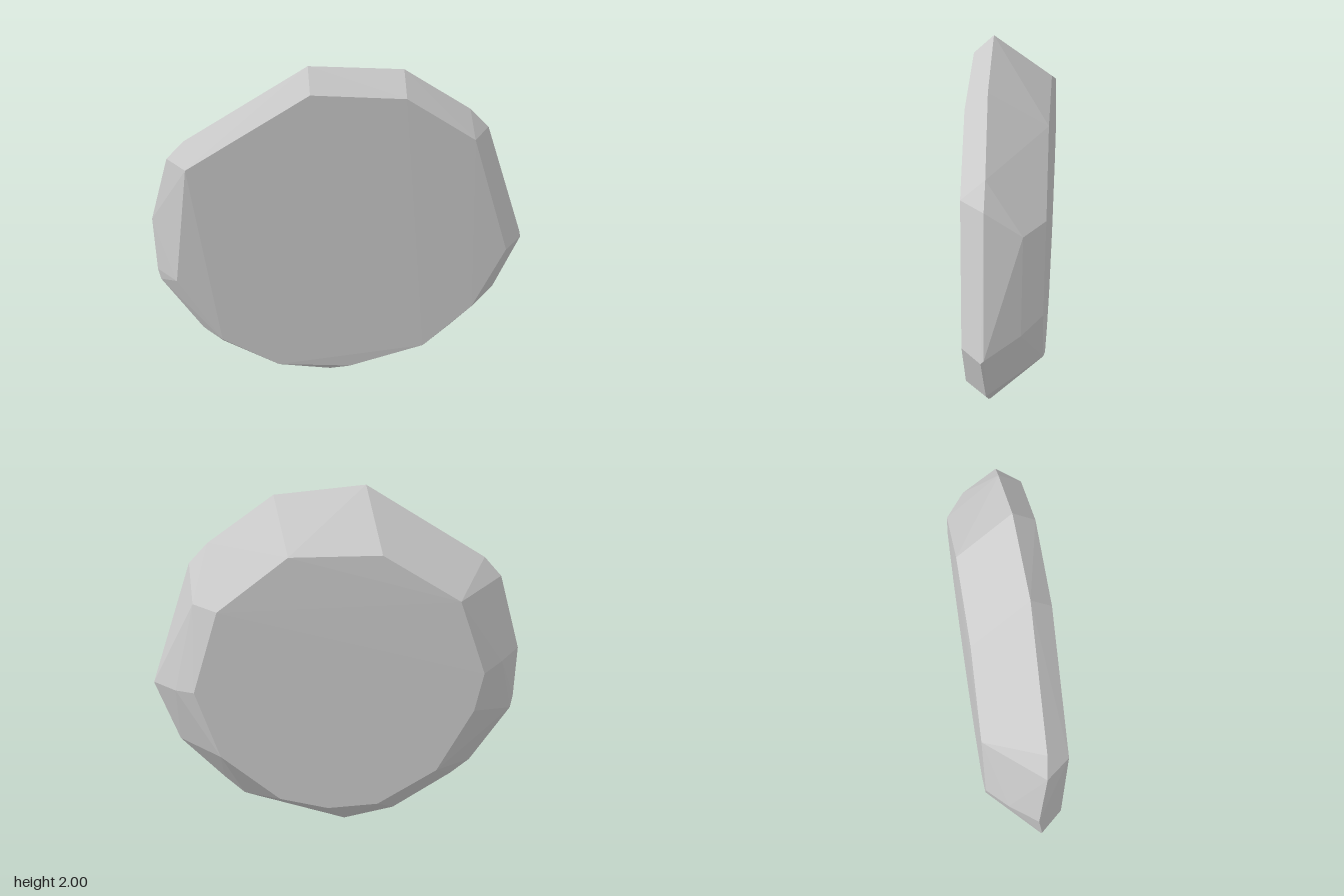
import * as THREE from 'three';
import { ConvexGeometry } from 'three/addons/geometries/ConvexGeometry.js';

// Corners of each outline as [x, y, z], clockwise from the top.
const frontFace = [
  [-0.16, 1.9, 0.2], [0.3, 1.85, 0.2], [0.65, 1.59, 0.19], [0.87, 0.88, 0.18],
  [0.71, 0.5, 0.185], [0.45, 0.24, 0.19], [0.04, 0.12, 0.185], [-0.36, 0.18, 0.19],
  [-0.66, 0.4, 0.19], [-0.87, 0.82, 0.175], [-0.77, 1.52, 0.195],
];
const rim = [
  [-0.16, 2, 0.1], [0.3, 1.95, 0.09], [0.64, 1.7, 0.075], [0.74, 1.59, 0.075],
  [0.97, 0.9, 0.065], [0.97, 0.88, 0.08], [0.85, 0.54, 0.07], [0.62, 0.28, 0.08],
  [0.51, 0.17, 0.08], [0.44, 0.14, 0.09], [0.04, 0.02, 0.085], [-0.06, 0, 0.07],
  [-0.34, 0.07, 0.08], [-0.66, 0.3, 0.09], [-0.76, 0.4, 0.08], [-0.96, 0.75, 0.06],
  [-0.97, 0.82, 0.06], [-0.97, 1.13, 0.035], [-0.86, 1.52, 0.08], [-0.77, 1.62, 0.09],
];
const backShoulder = [[0.83, 0.94, -0.1], [0.71, 1.44, -0.1], [-0.87, 1.12, -0.1]];
const backFace = [
  [-0.24, 1.74, -0.185], [0.22, 1.73, -0.19], [0.58, 1.44, -0.2], [0.72, 0.98, -0.2],
  [0.6, 0.59, -0.2], [0.29, 0.32, -0.2], [0.03, 0.26, -0.2], [-0.24, 0.29, -0.2],
  [-0.55, 0.51, -0.2], [-0.73, 0.88, -0.2], [-0.77, 1.1, -0.2], [-0.63, 1.5, -0.195],
];

export function createModel() {
  const group = new THREE.Group();
  group.name = 'flatStone';

  // One faceted stone wrapped tightly around the outlines
  const points = [...frontFace, ...rim, ...backShoulder, ...backFace]
    .map((p) => new THREE.Vector3(...p));
  const stone = new THREE.Mesh(
    new ConvexGeometry(points),
    new THREE.MeshStandardMaterial({ color: 0xcccccc, flatShading: true }),
  );
  stone.name = 'stone';
  group.add(stone);
  return group;
}
